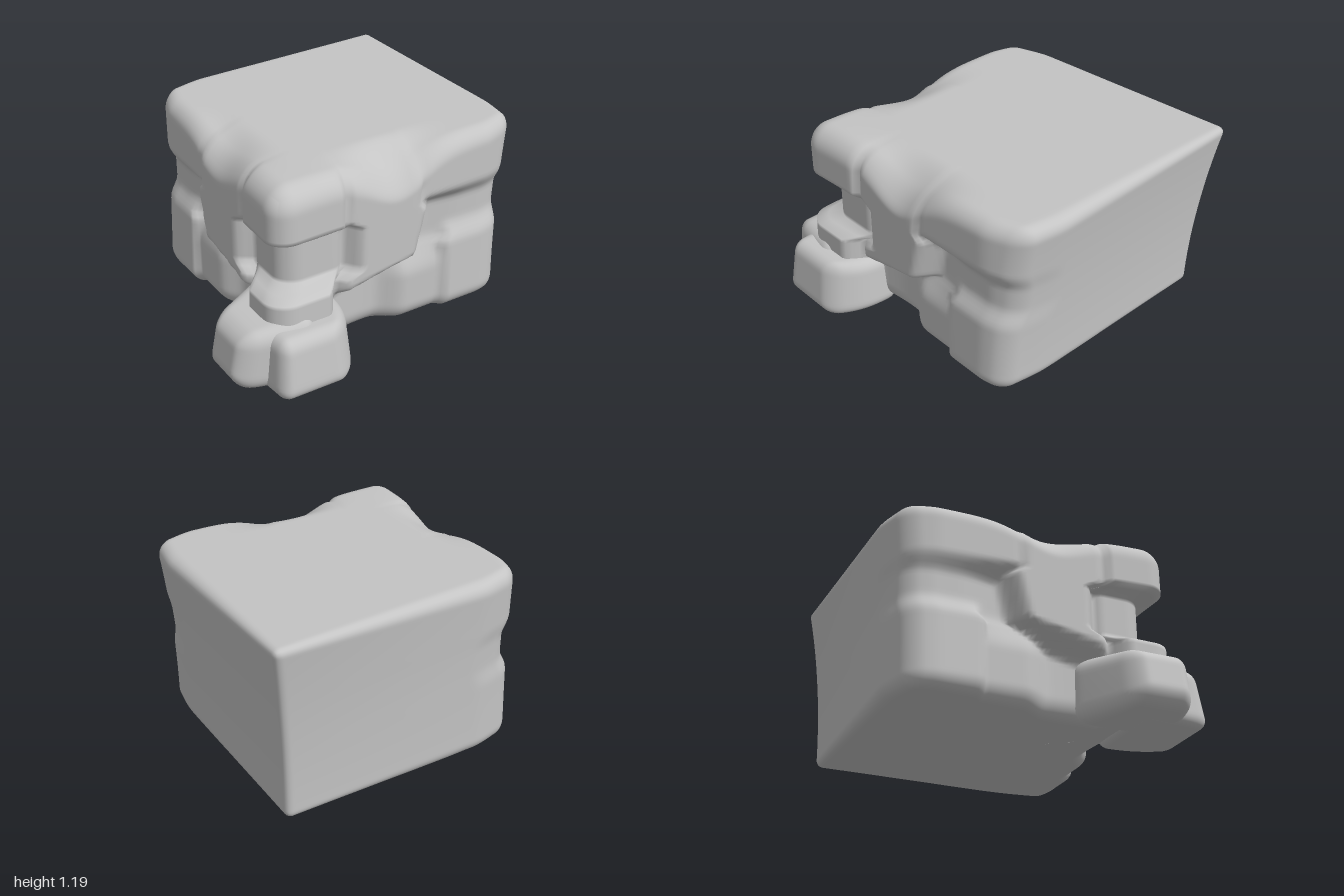
import * as THREE from 'three';
import { mergeVertices } from 'three/addons/utils/BufferGeometryUtils.js';

const { lerp, clamp, smoothstep } = THREE.MathUtils;

// Soft-edged window: 1 between a and b, fading to 0 over the width e
const band = (v, a, b, e) => smoothstep(v, a - e, a + e) * (1 - smoothstep(v, b - e, b + e));
const bell = (v, centre, width) => Math.exp(-(((v - centre) / width) ** 2));

// Finely divided box with rounded edges; warp(s, t, w) places each point,
// where s and w run -1..1 across x and z, and t runs 0..1 upward
function softBlock(name, material, half, segments, radius, warp) {
  let geo = new THREE.BoxGeometry(2, 2, 2, ...segments);
  geo.deleteAttribute('uv');
  geo.deleteAttribute('normal');
  geo = mergeVertices(geo, 1e-4);
  const pos = geo.attributes.position;
  const p = new THREE.Vector3(), inner = new THREE.Vector3();
  const crowd = (v) => 1.3 * v - 0.3 * v ** 3; // denser rows near the edges
  for (let i = 0; i < pos.count; i++) {
    p.fromBufferAttribute(pos, i);
    p.set(crowd(p.x), crowd(p.y), crowd(p.z));
    const r = radius(p.x, p.z);
    p.multiply(half);
    inner.set(
      clamp(p.x, r - half.x, half.x - r),
      clamp(p.y, r - half.y, half.y - r),
      clamp(p.z, r - half.z, half.z - r));
    p.sub(inner).normalize().multiplyScalar(r).add(inner).divide(half);
    pos.setXYZ(i, ...warp(p.x, (p.y + 1) / 2, p.z));
  }
  geo.computeVertexNormals();
  const mesh = new THREE.Mesh(geo, material);
  mesh.name = name;
  return mesh;
}

// Depth of the carved cliff face: u runs along the wall, y up
function cliff(u, y) {
  const base = 0.61 + 0.03 * smoothstep(u, 0.3, 0.6) - 0.03 * bell(u, 0, 0.25);
  const raise = (depth, mask) => base + (depth - base) * mask;
  const roof = 0.74 - 0.06 * u;
  const depth = Math.max(
    base,
    // recessed wall left of the slab
    raise(0.665, band(u, -2, -0.3, 0.06)),
    // overhanging brows on both sides
    raise(roof, band(u, -2, -0.22, 0.06) * band(y, 0.82, 3, 0.035)),
    raise(roof, band(u, 0.23, 3, 0.06) * band(y, 0.815, 3, 0.06)),
    // central slab, tapering down to a slanted lower edge
    raise(0.74, band(u, -0.27, 0.3 - 0.25 * Math.max(0, 0.85 - y), 0.07) * band(y, 0.44 + 0.22 * u, 3, 0.06)),
    // low ledge, lump and pillar
    raise(0.795 - 0.02 * y, band(u, -2, -0.3, 0.08) * band(y, -1, 0.525, 0.03)),
    raise(0.67, band(u, 0.14, 0.6, 0.09) * band(y, -1, 0.46, 0.12)),
    raise(0.715 - 0.04 * y, band(u, 0.46, 3, 0.04) * band(y, -1, 0.56, 0.07)));
  // the wall curves away at its far end
  return depth - 0.06 * smoothstep(u, 0.72, 1);
}

export function createModel() {
  const group = new THREE.Group();
  group.name = 'rockBlock';
  const stone = new THREE.MeshStandardMaterial({ color: 0xc4c4c4 });
  stone.name = 'grey stone';

  // Main block: flat back and right, carved front and left
  group.add(softBlock('cliffBlock', stone, new THREE.Vector3(0.8, 0.56, 0.8), [76, 60, 76],
    (s, w) => 0.095 - 0.025 * (s - w),
    (s, t, w) => {
      const a = (s + 1) / 2, b = (w + 1) / 2;
      const x1 = 0.905 + 0.09 * t * t;
      const z1 = -(0.845 + 0.015 * s + (0.07 + 0.025 * s) * t * t);
      const x0 = lerp(-0.72, x1, a), z0 = lerp(z1, 0.72, b);
      const right = x1 - 0.04 * smoothstep(z0, 0.4, 0.75);
      const back = z1 + 0.06 * smoothstep(-x0, 0.4, 0.75);
      let y = lerp(0.05 + 0.02 * s - 0.015 * w, 1.178 + 0.005 * s - 0.008 * w, t);
      // scoops where the roof dips to the central slabs
      const frontScoop = 0.17 * bell(x0, 0.1, 0.24) * smoothstep(z0, 0.42, 0.74);
      const leftScoop = 0.12 * bell(z0, 0, 0.24) * smoothstep(-x0, 0.42, 0.74);
      y -= Math.max(frontScoop, leftScoop) * smoothstep(t, 0.5, 1);
      const front = cliff(x0, y);
      const left = 0.02 - cliff(0.07 - z0, y);
      return [lerp(left, right, a), y, lerp(back, front, b)];
    }));

  // Boulder at the foot of the front face, flaring back to the wall
  group.add(softBlock('frontBoulder', stone, new THREE.Vector3(0.25, 0.18, 0.22), [24, 20, 24],
    () => 0.075,
    (s, t, w) => {
      const a = (s + 1) / 2, b = (w + 1) / 2;
      const z = lerp(0.5, 0.955 - 0.05 * t, b);
      const flare = -0.24 - 0.16 * b ** 3 - 0.03 * t;
      return [lerp(-0.86 + 0.03 * t + 0.05 * b, flare, a), lerp(0, 0.358, t), z];
    }));

  // Boulder at the foot of the left face, narrowing outward
  group.add(softBlock('leftBoulder', stone, new THREE.Vector3(0.2, 0.18, 0.24), [24, 20, 24],
    () => 0.09,
    (s, t, w) => {
      const out = (1 - s) / 2, b = (w + 1) / 2;
      const x = lerp(-0.5, -1.005 + 0.06 * t, out);
      const y = lerp(0.005 + 0.05 * out ** 6, 0.425 - 0.07 * out, t);
      return [x, y, lerp(0.2 + 0.22 * out, 0.83 - 0.09 * out ** 2, b)];
    }));

  return group;
}
